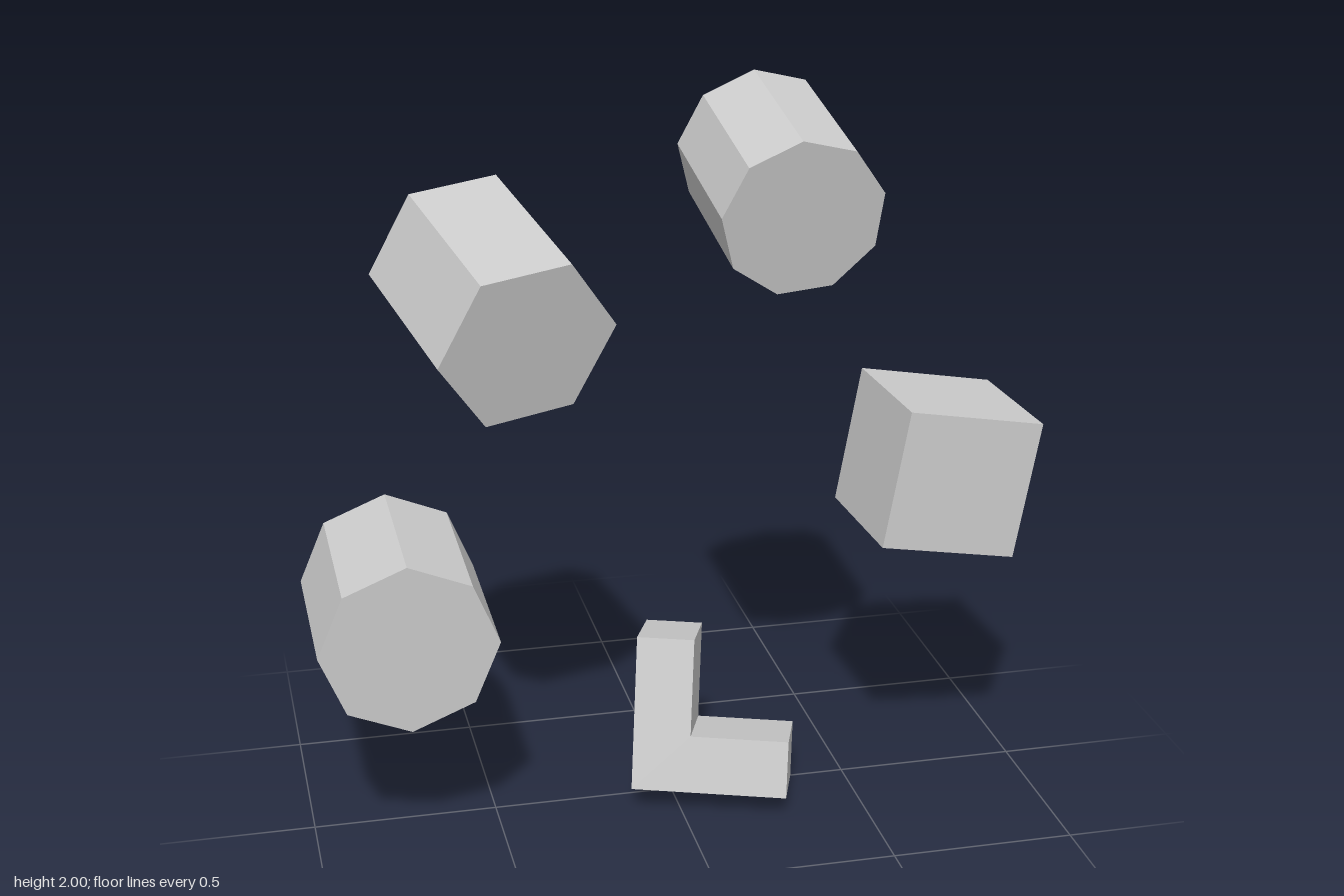
import * as THREE from 'three';

const material = new THREE.MeshStandardMaterial({ color: 0xcccccc, flatShading: true });

// Orients a geometry so its +z faces `front` and its +y follows `up`.
function place(name, geometry, position, front, up) {
  const z = new THREE.Vector3(...front).normalize();
  const x = new THREE.Vector3(...up).cross(z).normalize();
  const y = new THREE.Vector3().crossVectors(z, x);
  const mesh = new THREE.Mesh(geometry, material);
  mesh.name = name;
  mesh.quaternion.setFromRotationMatrix(new THREE.Matrix4().makeBasis(x, y, z));
  mesh.position.set(...position);
  return mesh;
}

// Regular prism along z with one corner pointing to +y.
function prism(sides, radius, length) {
  return new THREE.CylinderGeometry(radius, radius, length, sides).rotateX(-Math.PI / 2);
}

// L profile with its lower left front corner at the origin.
function lBlock(size, thickness, depth) {
  const shape = new THREE.Shape([
    [0, 0], [size, 0], [size, thickness], [thickness, thickness], [thickness, size], [0, size],
  ].map(([x, y]) => new THREE.Vector2(x, y)));
  return new THREE.ExtrudeGeometry(shape, { depth, bevelEnabled: false }).translate(0, 0, -depth);
}

export function createModel() {
  const group = new THREE.Group();
  group.name = 'floatingBlocks';
  group.add(
    place('octagonalPrism', prism(8, 0.238, 0.472), [-0.747, 0.623, 0.003], [0.006, -0.043, 1], [0, 1, 0.043]),
    place('hexagonalPrism', prism(6, 0.243, 0.485), [-0.475, 1.472, 0.002], [0.237, -0.252, 0.938], [-0.128, 0.19, 0.08]),
    place('nineSidedPrism', prism(9, 0.218, 0.44), [0.288, 1.74, 0], [0.034, -0.216, 0.976], [-0.02, 0.213, 0.048]),
    place('cube', new THREE.BoxGeometry(0.385, 0.385, 0.385), [0.75, 0.922, 0], [0.05, 0, 1], [0.18, 0.98, 0]),
    place('lShapedBlock', lBlock(0.428, 0.158, 0.255), [-0.135, 0.065, 0.1], [-0.078, 0.06, 0.235], [0.04, 0.415, -0.1]),
  );
  return group;
}
